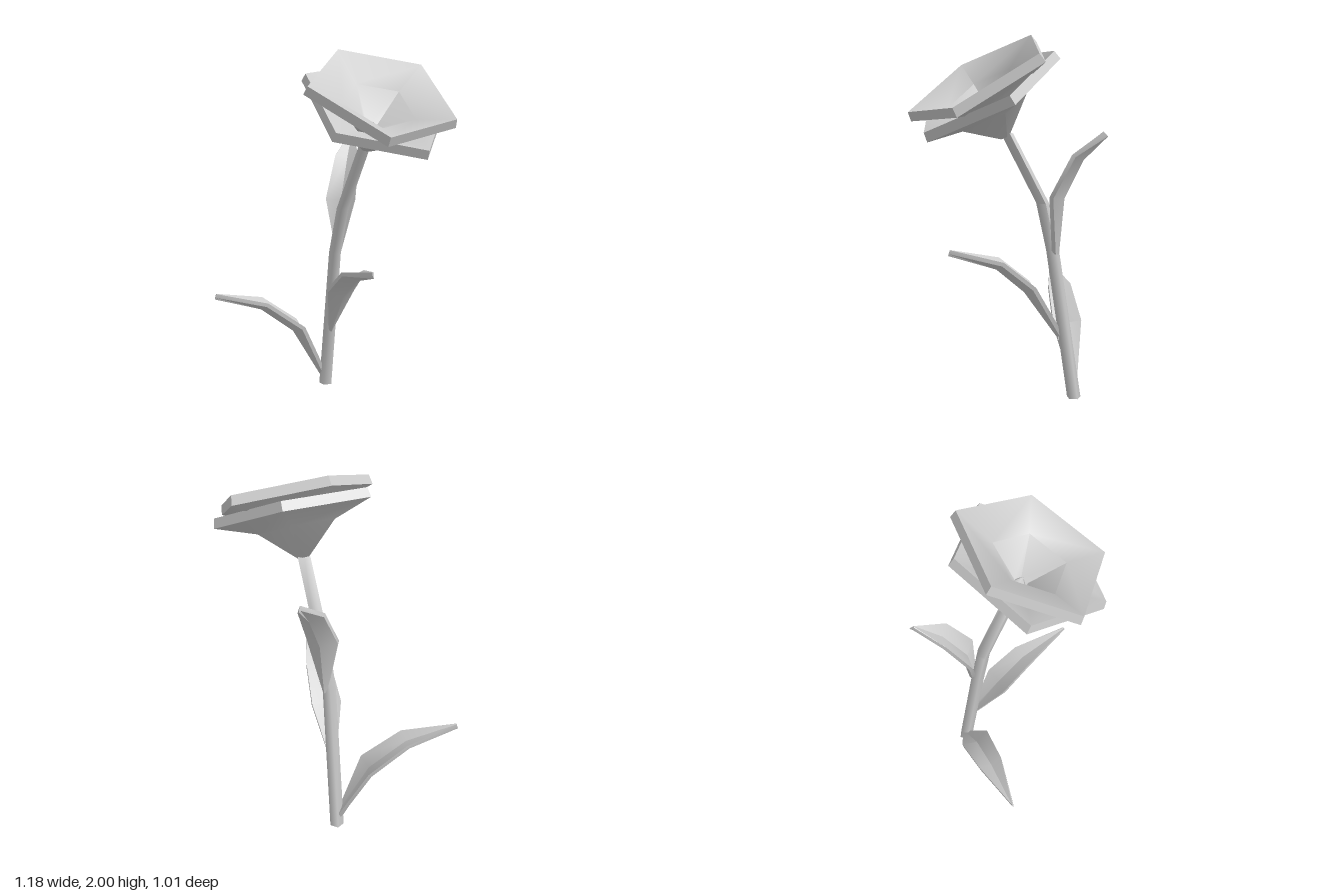
import * as THREE from 'three';
import { toCreasedNormals } from 'three/addons/utils/BufferGeometryUtils.js';

const V = (x, y, z) => new THREE.Vector3(x, y, z);

// Skin a closed solid over rings of equal length, with fan caps.
function loft(rings, crease) {
  const n = rings[0].length, pos = [], index = [];
  rings.forEach(r => r.forEach(p => pos.push(p.x, p.y, p.z)));
  for (let i = 0; i < rings.length - 1; i++) {
    for (let j = 0; j < n; j++) {
      const a = i * n + j, b = i * n + (j + 1) % n;
      index.push(a, b, b + n, a, b + n, a + n);
    }
  }
  const top = (rings.length - 1) * n;
  for (let j = 1; j < n - 1; j++) index.push(0, j + 1, j, top, top + j, top + j + 1);
  const g = new THREE.BufferGeometry();
  g.setAttribute('position', new THREE.Float32BufferAttribute(pos, 3));
  g.setIndex(index);
  return toCreasedNormals(g, crease);
}

const axis = V(0.085, 0.86, 0.5).normalize();

// Five-sided cup: the rim lies in a tilted plane, given as [x, z] corners.
function cup(corners, height, base, thickness) {
  const rim = corners.map(([x, z]) => V(x, height - 0.59 * z - 0.1 * x, z));
  const centre = rim.reduce((s, p) => s.add(p), V(0, 0, 0)).multiplyScalar(1 / rim.length);
  const under = rim.map(p => p.clone().sub(centre).multiplyScalar(1.025).add(centre)
    .addScaledVector(axis, -thickness));
  const ring = (from, t, lift) => from.map(p =>
    base.clone().lerp(p, t).addScaledVector(axis, lift));
  return loft([
    ring(under, 0.07, 0), ring(under, 0.5, 0.055), under,
    rim, ring(rim, 0.5, 0.075), ring(rim, 0.09, 0.05),
  ], 0.85);
}

// Folded leaf blade; stations are [x, y, z, halfWidth], side points across it.
function leaf(stations, side) {
  const pts = stations.map(s => V(s[0], s[1], s[2]));
  const rings = stations.map((s, i) => {
    const t = pts[Math.min(i + 1, pts.length - 1)].clone()
      .sub(pts[Math.max(i - 1, 0)]).normalize();
    const n = t.clone().cross(side).normalize();
    const at = (w, h) => pts[i].clone().addScaledVector(side, w).addScaledVector(n, h);
    const w = s[3], fold = w * 0.4;
    return [at(w, fold - 0.01), at(w, fold + 0.012), at(0, 0.015),
      at(-w, fold + 0.012), at(-w, fold - 0.01), at(0, -0.02)];
  });
  return loft(rings, 0.6);
}

export function createModel() {
  const group = new THREE.Group();
  const grey = new THREE.MeshStandardMaterial({ color: 0xcccccc });
  grey.name = 'light grey';
  const add = (name, geometry) => {
    const m = new THREE.Mesh(geometry, grey);
    m.name = name;
    group.add(m);
    return m;
  };

  // Bent stem
  const path = [[0.065, 0, -0.405, 0.04], [0.078, 0.85, -0.27, 0.037],
    [0.1, 1.12, -0.205, 0.036], [0.148, 1.5, 0, 0.034]];
  add('stem', loft(path.map(([x, y, z, r]) => Array.from({ length: 5 }, (_, k) => {
    const a = k / 5 * Math.PI * 2 + 0.3;
    return V(x + r * Math.cos(a), y, z - r * Math.sin(a));
  })), 1.3));

  // Two layers of petals, turned against each other
  add('outerPetals', cup(
    [[0.29, -0.21], [-0.16, -0.07], [-0.15, 0.36], [0.31, 0.45], [0.58, 0.08]],
    1.825, V(0.145, 1.47, 0), 0.05));
  add('innerPetals', cup(
    [[0.05, -0.15], [-0.23, 0.17], [0.08, 0.5], [0.515, 0.34], [0.505, -0.08]],
    1.915, V(0.15, 1.52, 0.03), 0.05));

  // Small bud in the middle
  const bud = add('bud', new THREE.ConeGeometry(0.06, 0.08, 5));
  bud.position.set(0.16, 1.6, 0.06);
  bud.quaternion.setFromUnitVectors(V(0, 1, 0), axis);

  // Three leaves up the stem
  add('lowerLeaf', leaf([[0.05, 0.06, -0.41, 0.012], [-0.125, 0.37, -0.407, 0.083],
    [-0.32, 0.525, -0.418, 0.067], [-0.59, 0.61, -0.438, 0.004]], V(0, 0, 1)));
  add('middleLeaf', leaf([[0.065, 0.37, -0.32, 0.012], [0.067, 0.64, -0.13, 0.08],
    [0.075, 0.78, 0.03, 0.066], [0.08, 0.87, 0.295, 0.004]], V(1, 0, 0)));
  add('upperLeaf', leaf([[0.1, 0.84, -0.28, 0.012], [0.125, 1.15, -0.3, 0.083],
    [0.195, 1.37, -0.385, 0.067], [0.262, 1.5, -0.495, 0.004]], V(-0.88, 0, -0.47)));

  return group;
}
